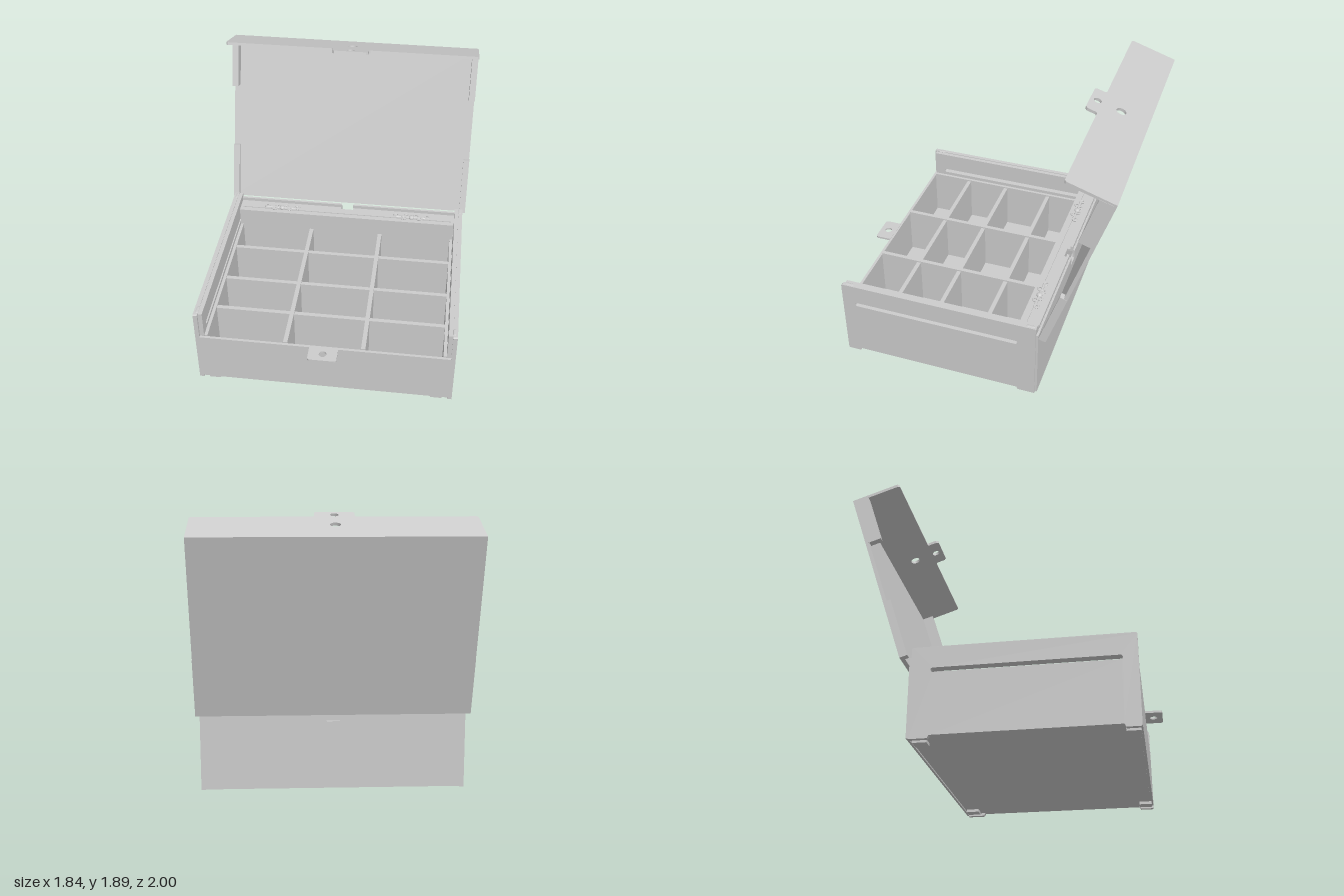
import * as THREE from 'three';

const mat = new THREE.MeshStandardMaterial({ color: 0xcccccc, flatShading: true });

function add(parent, name, geo, x = 0, y = 0, z = 0) {
  const m = new THREE.Mesh(geo, mat);
  m.name = name;
  m.position.set(x, y, z);
  parent.add(m);
  return m;
}

// box given by its extents
function box(parent, name, x0, x1, y0, y1, z0, z1) {
  return add(parent, name, new THREE.BoxGeometry(x1 - x0, y1 - y0, z1 - z0),
    (x0 + x1) / 2, (y0 + y1) / 2, (z0 + z1) / 2);
}

const poly = pts => new THREE.Shape(pts.map(p => new THREE.Vector2(...p)));
const extrude = (shape, depth) =>
  new THREE.ExtrudeGeometry(shape, { depth, bevelEnabled: false, curveSegments: 16 });
// shape drawn in (x, z), thickness going down
const flat = (shape, depth) => extrude(shape, depth).rotateX(Math.PI / 2);

function roundHole(shape, x, y, r) {
  shape.holes.push(new THREE.Path().absarc(x, y, r, 0, Math.PI * 2, true));
}

// side panel drawn in (z, y) with a long slot, thickness going to -x
function sidePanel(outline, depth) {
  const s = poly(outline);
  const slot = new THREE.Path();
  slot.absarc(0.775, 0.45, 0.015, -Math.PI / 2, Math.PI / 2, false);
  slot.absarc(-0.39, 0.45, 0.015, Math.PI / 2, Math.PI * 1.5, false);
  s.holes.push(slot);
  return extrude(s, depth).rotateY(-Math.PI / 2);
}

function makeCase() {
  const g = new THREE.Group();
  g.name = 'case';
  const outer = [[-0.53, 0], [-0.41, 0], [-0.4, 0.02], [0.78, 0.02], [0.79, 0],
    [0.878, 0], [0.885, 0.008], [0.885, 0.602], [0.878, 0.61], [-0.523, 0.61], [-0.53, 0.602]];
  const inner = [[-0.53, 0.02], [0.868, 0.02], [0.868, 0.605], [-0.53, 0.605]];
  for (const s of [-1, 1]) {
    add(g, 'sidePanel', sidePanel(outer, 0.03), s > 0 ? 0.9 : -0.87);
    add(g, 'innerSidePanel', sidePanel(inner, 0.03), s > 0 ? 0.87 : -0.84);
    for (const z of [-0.49, 0.83]) {
      // fastener slots on the rim
      const pin = add(g, 'rimFastener', new THREE.CapsuleGeometry(0.012, 0.04, 4, 12), s * 0.878, 0.608, z);
      pin.rotation.x = Math.PI / 2;
      pin.scale.z = 0.4;
      // feet
      const zf = z > 0 ? 0.83 : -0.475;
      box(g, 'foot', s * 0.79 - 0.04, s * 0.79 + 0.04, 0, 0.022, zf - 0.045, zf + 0.045);
    }
  }
  box(g, 'floor', -0.868, 0.868, 0.02, 0.05, -0.53, 0.868);
  box(g, 'frontPanel', -0.87, 0.87, 0.022, 0.4, 0.866, 0.885);

  // back panel with a cable notch
  const back = poly([[-0.89, 0.01], [0.89, 0.01], [0.89, 0.547], [0.045, 0.547], [0.045, 0.48],
    [-0.045, 0.48], [-0.045, 0.547], [-0.89, 0.547]]);
  add(g, 'backPanel', extrude(back, 0.015), 0, 0, -0.545);

  // front latch tab
  const tab = new THREE.Shape();
  tab.moveTo(-0.1, 0.88);
  tab.lineTo(0.1, 0.88);
  tab.lineTo(0.1, 0.98);
  tab.quadraticCurveTo(0.1, 1, 0.08, 1);
  tab.lineTo(-0.08, 1);
  tab.quadraticCurveTo(-0.1, 1, -0.1, 0.98);
  roundHole(tab, 0, 0.94, 0.026);
  add(g, 'latchTab', flat(tab, 0.015), 0, 0.402, 0);
  return g;
}

function makeTray() {
  const g = new THREE.Group();
  g.name = 'dividerTray';
  for (const x of [-0.828, -0.27, 0.27, 0.828]) {
    const w = Math.abs(x) > 0.5 ? 0.011 : 0.015;
    box(g, 'lengthDivider', x - w, x + w, 0.05, 0.41, -0.39, 0.866);
  }
  for (const z of [-0.117, 0.245, 0.565]) {
    box(g, 'crossDivider', -0.82, 0.82, 0.05, 0.4, z - 0.015, z + 0.015);
  }
  return g;
}

// small ornamental hinge lying on the rear ledge
function makeHinge(x) {
  const g = new THREE.Group();
  g.name = 'hinge';
  g.position.set(x, 0.555, -0.44);
  const barrel = add(g, 'hingeBarrel', new THREE.CylinderGeometry(0.01, 0.01, 0.26, 12));
  barrel.rotation.z = Math.PI / 2;
  const scroll = new THREE.TorusGeometry(0.016, 0.006, 6, 16).rotateX(Math.PI / 2);
  for (const s of [-1, 1]) {
    add(g, 'hingeScroll', scroll, s * 0.12, 0.005, -0.012);
    add(g, 'hingeScroll', scroll, s * 0.06, 0.005, 0.015);
    add(g, 'hingeScroll', scroll, s * 0.035, 0.005, -0.015);
  }
  const knob = add(g, 'hingeKnob', new THREE.SphereGeometry(0.022, 12, 8), 0, 0.003, 0);
  knob.scale.y = 0.7;
  return g;
}

function makeRearLedge() {
  const g = new THREE.Group();
  g.name = 'rearLedge';
  box(g, 'ledgeFront', -0.84, 0.84, 0.05, 0.55, -0.403, -0.386);
  const top = poly([[-0.84, -0.4], [-0.84, -0.532], [-0.045, -0.532], [-0.045, -0.49],
    [0.045, -0.49], [0.045, -0.532], [0.84, -0.532], [0.84, -0.4]]);
  add(g, 'ledgeTop', flat(top, 0.015), 0, 0.55, 0);
  for (const s of [-1, 1]) {
    box(g, 'ledgeRail', s * 0.4425 - 0.3975, s * 0.4425 + 0.3975, 0.548, 0.575, -0.53, -0.512);
    g.add(makeHinge(s * 0.51));
  }
  box(g, 'ledgeBead', -0.82, 0.82, 0.548, 0.556, -0.435, -0.425);
  return g;
}

// lid, built upright with its top rear edge at the origin, then tilted back
function makeLid() {
  const g = new THREE.Group();
  g.name = 'lid';
  box(g, 'lidPlate', -0.92, 0.92, -1.28, -0.002, 0, 0.026);
  for (const s of [-1, 1]) {
    const x0 = s > 0 ? 0.877 : -0.922, x1 = x0 + 0.045;
    box(g, 'upperCheek', x0, x1, -0.375, -0.015, 0.018, 0.109);
    box(g, 'lowerCheek', x0, x1, -1.282, -0.853, 0.004, 0.053);
  }
  const flap = poly([[-0.92, 0], [0.92, 0], [0.92, 0.325], [0.908, 0.337], [0.14, 0.337], [0.13, 0.347],
    [0.13, 0.405], [0.115, 0.42], [-0.115, 0.42], [-0.13, 0.405], [-0.13, 0.347], [-0.14, 0.337],
    [-0.908, 0.337], [-0.92, 0.325]]);
  roundHole(flap, 0, 0.2, 0.034);
  roundHole(flap, 0, 0.368, 0.027);
  add(g, 'lidFlap', flat(flap, 0.02));
  g.position.set(0, 1.757, -1);
  g.rotation.x = -Math.PI / 10;
  return g;
}

export function createModel() {
  const model = new THREE.Group();
  model.name = 'compartmentBox';
  model.add(makeCase(), makeTray(), makeRearLedge(), makeLid());
  return model;
}
